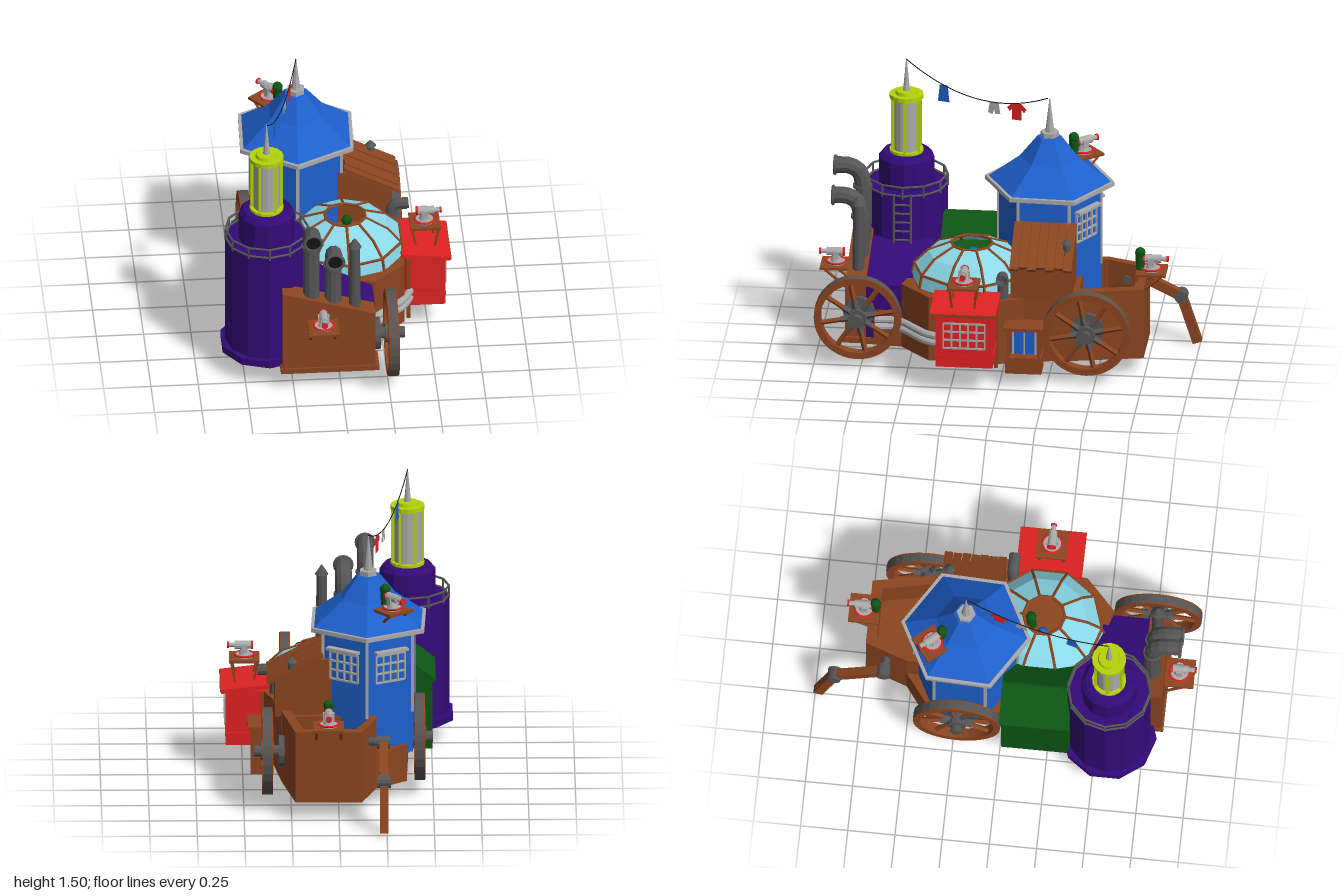
import * as THREE from 'three';

const C = { wood: 0x8b4520, purple: 0x330a78, blue: 0x1e5fcc, lime: 0xb4d40a, green: 0x0d5514, red: 0xe02222,
  glass: 0x8ad8e8, iron: 0x555555, grey: 0xaaaaaa, black: 0x151515 };
const mats = {};
const mat = (c, double) => mats[c + !!double] ??= new THREE.MeshStandardMaterial({
  color: C[c], flatShading: true, side: double ? THREE.DoubleSide : THREE.FrontSide });
const V = (x, y, z) => new THREE.Vector3(x, y, z);

function add(p, name, geo, c, pos = [0, 0, 0], double) {
  const m = new THREE.Mesh(geo, mat(c, double));
  m.name = name;
  m.position.set(...pos);
  p.add(m);
  return m;
}
function group(p, name, pos = [0, 0, 0], ry = 0) {
  const g = new THREE.Group();
  g.name = name;
  g.position.set(...pos);
  g.rotation.y = ry;
  p.add(g);
  return g;
}
const box = (p, name, c, size, pos) => add(p, name, new THREE.BoxGeometry(...size), c, pos);
// upright cylinder from height y0 to y1
const cyl = (p, name, c, r0, r1, y0, y1, x = 0, z = 0, n = 16) =>
  add(p, name, new THREE.CylinderGeometry(r1, r0, y1 - y0, n), c, [x, (y0 + y1) / 2, z]);
// round or square bar between two points
function bar(p, name, c, a, b, r, n = 6) {
  const d = b.clone().sub(a);
  const m = add(p, name, new THREE.CylinderGeometry(r, r, d.length(), n), c, a.clone().add(b).multiplyScalar(0.5).toArray());
  m.quaternion.setFromUnitVectors(V(0, 1, 0), d.normalize());
  return m;
}
const shapeOf = pts => new THREE.Shape(pts.map(q => new THREE.Vector2(q[0], q[1])));
// plan outline (x, z) raised from y0 to y1
function plan(p, name, c, pts, y0, y1) {
  const s = shapeOf(pts.map(([x, z]) => [x, -z]));
  const g = new THREE.ExtrudeGeometry(s, { depth: y1 - y0, bevelEnabled: false }).rotateX(-Math.PI / 2);
  return add(p, name, g, c, [0, y0, 0]);
}
// front outline (x, y) running from z0 to z1
const prism = (p, name, c, pts, z0, z1) =>
  add(p, name, new THREE.ExtrudeGeometry(shapeOf(pts), { depth: z1 - z0, bevelEnabled: false }), c, [0, 0, z0]);
const tube = (p, name, c, pts, r) =>
  add(p, name, new THREE.TubeGeometry(new THREE.CatmullRomCurve3(pts, false, 'centripetal'), 20, r, 10), c, [0, 0, 0], true);

// lattice window in the local xy plane, facing +z
function windowGrid(p, pos, ry, w, h, nx, ny) {
  const g = group(p, 'latticeWindow', pos, ry);
  for (let i = 0; i <= nx; i++) box(g, 'upright', 'grey', [0.009, h, 0.012], [(i / nx - 0.5) * w, 0, 0]);
  for (let i = 0; i <= ny; i++) box(g, 'crossbar', 'grey', [w, 0.009, 0.012], [0, (i / ny - 0.5) * h, 0]);
}

function wheel(p, x, z, s) {
  const g = group(p, 'wheel', [x, 0.29, z], s * Math.PI / 2);
  const rim = new THREE.Shape();
  rim.absarc(0, 0, 0.23, 0, Math.PI * 2);
  const hole = new THREE.Path();
  hole.absarc(0, 0, 0.195, 0, Math.PI * 2);
  rim.holes.push(hole);
  add(g, 'rim', new THREE.ExtrudeGeometry(rim, { depth: 0.056, bevelEnabled: false, curveSegments: 28 }), 'wood', [0, 0, -0.028]);
  add(g, 'tyre', new THREE.CylinderGeometry(0.232, 0.232, 0.04, 28, 1, true).rotateX(Math.PI / 2), 'iron');
  for (let i = 0; i < 8; i++) {
    const a = i * Math.PI / 4 + 0.2, u = V(Math.cos(a), Math.sin(a), 0);
    bar(g, 'spoke', 'wood', u.clone().multiplyScalar(0.03), u.clone().multiplyScalar(0.2), 0.014, 4);
    bar(g, 'spokeBrace', 'iron', u.clone().multiplyScalar(0.03), u.clone().multiplyScalar(0.09), 0.018, 4);
  }
  for (const [r, z0, z1] of [[0.05, -0.035, 0.035], [0.03, -0.1, 0.07], [0.085, -0.09, -0.06]])
    add(g, 'hub', new THREE.CylinderGeometry(r, r, z1 - z0, 12).rotateX(Math.PI / 2), 'iron', [0, 0, (z0 + z1) / 2]);
}

// swivel gun on a wooden stand, local +z is forward
function gun(p, pos, ry, gunner, legs) {
  const g = group(p, 'swivelGun', pos, ry);
  box(g, 'standTop', 'wood', [0.16, 0.014, 0.16], [0, -0.007, 0]);
  for (const s of [-1, 1]) {
    if (legs) for (const t of [-1, 1]) bar(g, 'leg', 'wood', V(s * 0.07, -0.01, t * 0.07), V(s * 0.06, -0.12, t * 0.05), 0.008, 4);
    else {
      bar(g, 'bracket', 'wood', V(s * 0.065, -0.01, 0.06), V(s * 0.065, -0.12, -0.07), 0.008, 4);
      box(g, 'bracketPost', 'wood', [0.014, 0.12, 0.014], [s * 0.065, -0.07, -0.072]);
    }
    box(g, 'fork', 'grey', [0.008, 0.045, 0.03], [s * 0.026, 0.05, 0]);
  }
  cyl(g, 'turntable', 'grey', 0.05, 0.05, 0, 0.012);
  add(g, 'turntableRing', new THREE.TorusGeometry(0.052, 0.006, 5, 16).rotateX(Math.PI / 2), 'red', [0, 0.012, 0]);
  cyl(g, 'pivot', 'grey', 0.03, 0.02, 0.01, 0.045);
  bar(g, 'barrel', 'grey', V(0, 0.063, -0.04), V(0, 0.063, 0.05), 0.022, 12);
  bar(g, 'muzzle', 'grey', V(0, 0.063, 0.05), V(0, 0.063, 0.085), 0.013, 10);
  bar(g, 'muzzleRing', 'red', V(0, 0.063, 0.08), V(0, 0.063, 0.09), 0.017, 10);
  bar(g, 'breechRing', 'red', V(0, 0.063, -0.045), V(0, 0.063, -0.035), 0.024, 10);
  if (gunner) {
    cyl(g, 'gunnerBody', 'green', 0.022, 0.026, 0, 0.08, 0, -0.06, 10);
    add(g, 'gunnerHead', new THREE.SphereGeometry(0.028, 10, 8), 'green', [0, 0.095, -0.06]);
  }
}

export function createModel() {
  const m = new THREE.Group();
  m.name = 'steamWagonCastle';

  // hull with an open well at the back
  plan(m, 'hull', 'wood', [[-0.3, 0.74], [0.18, 0.74], [0.2, 0.54], [0.37, 0.38], [0.39, 0.02], [0.34, -0.12], [0.3, -0.4],
    [0.23, -0.745], [-0.12, -0.745], [-0.2, -0.52], [-0.36, -0.4], [-0.38, 0.3]], 0.1, 0.3);
  plan(m, 'bulwark', 'wood', [[0.3, -0.39], [0.23, -0.745], [-0.12, -0.745], [-0.2, -0.52], [-0.2, -0.39],
    [-0.16, -0.39], [-0.16, -0.52], [-0.09, -0.69], [0.19, -0.69], [0.25, -0.39]], 0.3, 0.49);
  plan(m, 'upperHull', 'wood', [[-0.16, 0.44], [0.2, 0.54], [0.37, 0.38], [0.39, 0.02], [0.34, -0.12], [0.3, -0.4], [-0.2, -0.4], [-0.2, 0.1]], 0.3, 0.46);
  box(m, 'frontSill', 'wood', [0.52, 0.03, 0.14], [-0.06, 0.125, 0.78]);
  prism(m, 'frontWall', 'wood', [[-0.31, 0.13], [0.18, 0.13], [0.18, 0.46], [-0.31, 0.605]], 0.73, 0.84);
  prism(m, 'purpleShed', 'purple', [[-0.2, 0.14], [0.185, 0.14], [0.185, 0.44], [-0.2, 0.56]], 0.4, 0.73);

  // round tower with railing, ladder and lantern
  const t = group(m, 'purpleTower', [-0.375, 0, 0.57]);
  cyl(t, 'towerFoot', 'purple', 0.25, 0.25, 0.13, 0.17, 0, 0, 10);
  cyl(t, 'towerBody', 'purple', 0.22, 0.22, 0.17, 0.8, 0, 0, 12);
  cyl(t, 'towerNeck', 'purple', 0.147, 0.147, 0.8, 0.955, 0, 0, 12);
  cyl(t, 'towerShoulder', 'purple', 0.147, 0.125, 0.955, 0.98, 0, 0, 12);
  for (let i = 0; i < 12; i++) {
    const at = (k, y) => V(Math.sin(k * Math.PI / 6) * 0.218, y, Math.cos(k * Math.PI / 6) * 0.218);
    bar(t, 'railPost', 'iron', at(i, 0.79), at(i, 0.855), 0.006);
    for (const y of [0.805, 0.855]) bar(t, 'rail', 'iron', at(i, y), at(i + 1, y), 0.006);
  }
  for (const z of [-0.045, 0.045]) bar(t, 'ladderRail', 'iron', V(0.225, 0.54, z), V(0.225, 0.82, z), 0.007);
  for (let y = 0.56; y < 0.81; y += 0.05) bar(t, 'ladderRung', 'iron', V(0.225, y, -0.045), V(0.225, y, 0.045), 0.006);
  cyl(t, 'lanternBase', 'lime', 0.09, 0.09, 0.98, 0.995);
  cyl(t, 'lanternGlass', 'grey', 0.07, 0.07, 0.99, 1.29);
  cyl(t, 'lanternRim', 'lime', 0.09, 0.09, 1.285, 1.308);
  cyl(t, 'lanternCap', 'lime', 0.06, 0.055, 1.308, 1.325);
  for (let i = 0; i < 6; i++)
    box(t, 'lanternPost', 'lime', [0.016, 0.3, 0.016], [Math.sin(i * Math.PI / 3 + 0.5) * 0.078, 1.14, Math.cos(i * Math.PI / 3 + 0.5) * 0.078]);
  cyl(t, 'lanternSpike', 'grey', 0.018, 0.002, 1.325, 1.505, 0, 0, 8);

  // gabled green hut
  prism(m, 'greenHut', 'green', [[-0.5, 0.14], [-0.16, 0.14], [-0.16, 0.52], [-0.33, 0.655], [-0.5, 0.52]], 0.01, 0.37);
  for (const s of [-1, 1]) {
    const r = box(m, 'greenRoof', 'green', [0.235, 0.018, 0.37], [-0.33 + s * 0.09, 0.59, 0.185]);
    r.rotation.z = -s * 0.67;
  }

  // six-sided blue tower
  const b = group(m, 'blueTower', [-0.16, 0, -0.21], -0.04);
  cyl(b, 'blueWalls', 'blue', 0.275, 0.275, 0.25, 0.93, 0, 0, 6);
  cyl(b, 'eaveTrim', 'grey', 0.345, 0.345, 0.92, 0.942, 0, 0, 6);
  add(b, 'flaredRoof', new THREE.LatheGeometry([[0.325, 0.942], [0.16, 1.065], [0.065, 1.185], [0, 1.195]].map(q => new THREE.Vector2(...q)), 6), 'blue');
  cyl(b, 'roofCap', 'grey', 0.05, 0.05, 1.185, 1.212, 0, 0, 6);
  cyl(b, 'roofSpike', 'grey', 0.024, 0.002, 1.21, 1.4, 0, 0, 8);
  for (let i = 0; i < 6; i++) {
    const a = i * Math.PI / 3;
    box(b, 'cornerTrim', 'grey', [0.016, 0.45, 0.016], [Math.sin(a) * 0.272, 0.7, Math.cos(a) * 0.272]);
  }
  for (const a of [Math.PI * 5 / 6, -Math.PI * 5 / 6]) {
    windowGrid(b, [Math.sin(a) * 0.244, 0.74, Math.cos(a) * 0.244], a, 0.17, 0.15, 4, 3);
    const w = group(b, 'awning', [Math.sin(a) * 0.255, 0.835, Math.cos(a) * 0.255], a);
    box(w, 'awningBar', 'grey', [0.19, 0.014, 0.04], [0, 0, 0]);
  }

  // faceted glass dome with an open hatch and crew inside
  const d = group(m, 'glassDome', [0.07, 0, 0.18]);
  const prof = [[0.32, 0.455], [0.305, 0.53], [0.23, 0.605], [0.11, 0.655]];
  add(d, 'glass', new THREE.LatheGeometry(prof.map(q => new THREE.Vector2(...q)), 10), 'glass', [0, 0, 0], true);
  for (let i = 0; i < 10; i++) {
    const at = (k, j) => V(Math.sin(k * Math.PI / 5) * prof[j][0], prof[j][1], Math.cos(k * Math.PI / 5) * prof[j][0]);
    for (let j = 0; j < 3; j++) bar(d, 'rib', 'wood', at(i, j), at(i, j + 1), 0.008, 5);
    for (const j of [0, 1, 3]) bar(d, 'ringRib', 'wood', at(i, j), at(i + 1, j), 0.008, 5);
  }
  for (const [c, x, z] of [['green', 0.015, -0.07], ['blue', -0.065, 0]]) {
    cyl(d, 'crewBody', c, 0.03, 0.024, 0.46, 0.55, x, z, 10);
    add(d, 'crewHead', new THREE.SphereGeometry(0.028, 10, 8), c, [x, 0.575, z]);
  }

  // plank-roofed lean-to
  prism(m, 'leanTo', 'wood', [[-0.05, 0.45], [0.335, 0.45], [0.335, 0.645], [0.1, 0.765], [-0.05, 0.765]], -0.37, -0.05);
  for (let i = 0; i < 7; i++) {
    const k = box(m, 'roofPlank', 'wood', [0.33 - (i % 2) * 0.015, 0.016, 0.044], [0.228, 0.712 + (i % 2) * 0.006, -0.07 - i * 0.0475]);
    k.rotation.z = -0.477;
  }
  cyl(m, 'smallChimney', 'iron', 0.02, 0.02, 0.65, 0.75, 0.245, -0.34, 10);
  cyl(m, 'chimneyHat', 'iron', 0.03, 0.002, 0.745, 0.775, 0.245, -0.34, 10);
  tube(m, 'ventElbow', 'iron', [V(0.33, 0.46, -0.01), V(0.33, 0.55, -0.01), V(0.35, 0.585, -0.01), V(0.42, 0.59, -0.01)], 0.03);

  // porch on the side
  box(m, 'porchRoof', 'wood', [0.13, 0.018, 0.21], [0.41, 0.335, -0.13]);
  box(m, 'porchStep', 'wood', [0.12, 0.09, 0.19], [0.4, 0.125, -0.13]);
  box(m, 'porchDoor', 'blue', [0.06, 0.15, 0.12], [0.37, 0.24, -0.13]);
  for (const z of [-0.21, -0.05]) box(m, 'porchPost', 'wood', [0.1, 0.16, 0.016], [0.41, 0.25, z]);
  windowGrid(m, [0.402, 0.24, -0.13], Math.PI / 2, 0.12, 0.15, 2, 1);

  // red cabin
  box(m, 'redCabin', 'red', [0.21, 0.3, 0.3], [0.485, 0.31, 0.17]);
  box(m, 'cabinSill', 'red', [0.215, 0.012, 0.31], [0.485, 0.225, 0.17]);
  box(m, 'redRoof', 'red', [0.26, 0.022, 0.35], [0.485, 0.475, 0.175]).rotation.z = -0.11;
  box(m, 'roofEdge', 'wood', [0.02, 0.012, 0.35], [0.61, 0.464, 0.175]);
  windowGrid(m, [0.592, 0.34, 0.17], Math.PI / 2, 0.22, 0.14, 5, 3);
  for (const z of [0.02, 0.32]) box(m, 'cabinPost', 'wood', [0.02, 0.37, 0.018], [0.395, 0.27, z]);

  // twin exhausts, stack and side pipes
  for (const [x, y] of [[-0.155, 0.975], [-0.04, 0.85]]) {
    tube(m, 'exhaust', 'iron', [V(x, 0.4, 0.78), V(x, y - 0.09, 0.78), V(x, y - 0.03, 0.8), V(x, y, 0.85), V(x, y, 0.93)], 0.044);
    add(m, 'exhaustRim', new THREE.TorusGeometry(0.046, 0.009, 6, 16), 'iron', [x, y, 0.925]);
    add(m, 'exhaustMouth', new THREE.CircleGeometry(0.043, 16), 'black', [x, y, 0.92]);
    cyl(m, 'exhaustCollar', 'iron', 0.052, 0.052, y - 0.12, y - 0.105, x, 0.78);
  }
  cyl(m, 'stack', 'iron', 0.033, 0.027, 0.42, 0.85, 0.075, 0.78, 12);
  cyl(m, 'stackHat', 'iron', 0.036, 0.004, 0.85, 0.9, 0.075, 0.78, 12);
  for (const y of [0.21, 0.25])
    tube(m, 'sidePipe', 'grey', [V(0.2, y, 0.68), V(0.205, y, 0.56), V(0.36, y, 0.4), V(0.41, y, 0.3)], 0.02);

  // wheels
  wheel(m, 0.27, 0.765, 1);
  wheel(m, 0.375, -0.455, 1);
  wheel(m, -0.43, -0.23, -1);

  // trailing support arm
  const arm = [V(-0.235, 0.4, -0.64), V(-0.235, 0.27, -0.9), V(-0.235, 0.01, -0.985)];
  for (let i = 0; i < 2; i++) {
    const l = arm[i].distanceTo(arm[i + 1]);
    const k = box(m, 'armBeam', 'wood', [0.045, 0.05, l], arm[i].clone().add(arm[i + 1]).multiplyScalar(0.5).toArray());
    k.lookAt(arm[i + 1]);
    bar(m, 'armJoint', 'iron', arm[i].clone().add(V(-0.035, 0, 0)), arm[i].clone().add(V(0.035, 0, 0)), 0.035, 12);
  }
  bar(m, 'armAxle', 'iron', arm[0], V(-0.1, 0.4, -0.62), 0.022, 10);

  // swivel guns
  gun(m, [-0.1, 0.44, 0.915], 0, false, false);
  gun(m, [0.49, 0.6, 0.18], Math.PI / 2, false, true);
  gun(m, [0.055, 0.535, -0.77], Math.PI, true, false);
  gun(m, [-0.285, 1.05, -0.375], -Math.PI * 0.78, true, false);

  // washing line
  const A = V(-0.375, 1.5, 0.57), B = V(-0.16, 1.4, -0.2);
  const line = k => A.clone().lerp(B, k).add(V(0, -0.46 * k * (1 - k), 0));
  tube(m, 'washingLine', 'black', Array.from({ length: 13 }, (_, i) => line(i / 12)), 0.0025);
  const clothes = [
    ['towel', 'blue', 0.26, [[-0.02, 0], [0.025, 0], [0.035, -0.095], [-0.03, -0.095]]],
    ['shorts', 'grey', 0.62, [[-0.025, 0], [0.025, 0], [0.035, -0.06], [0.005, -0.065], [0, -0.04], [-0.01, -0.07], [-0.035, -0.06]]],
    ['shirt', 'red', 0.78, [[-0.025, 0], [0.025, 0], [0.055, -0.03], [0.04, -0.05], [0.027, -0.035], [0.027, -0.095],
      [-0.027, -0.095], [-0.027, -0.035], [-0.04, -0.05], [-0.055, -0.03]]]];
  for (const [name, c, k, pts] of clothes)
    add(m, name, new THREE.ShapeGeometry(shapeOf(pts)), c, line(k).toArray(), true).rotation.y = Math.atan2(A.z - B.z, B.x - A.x);
  return m;
}
